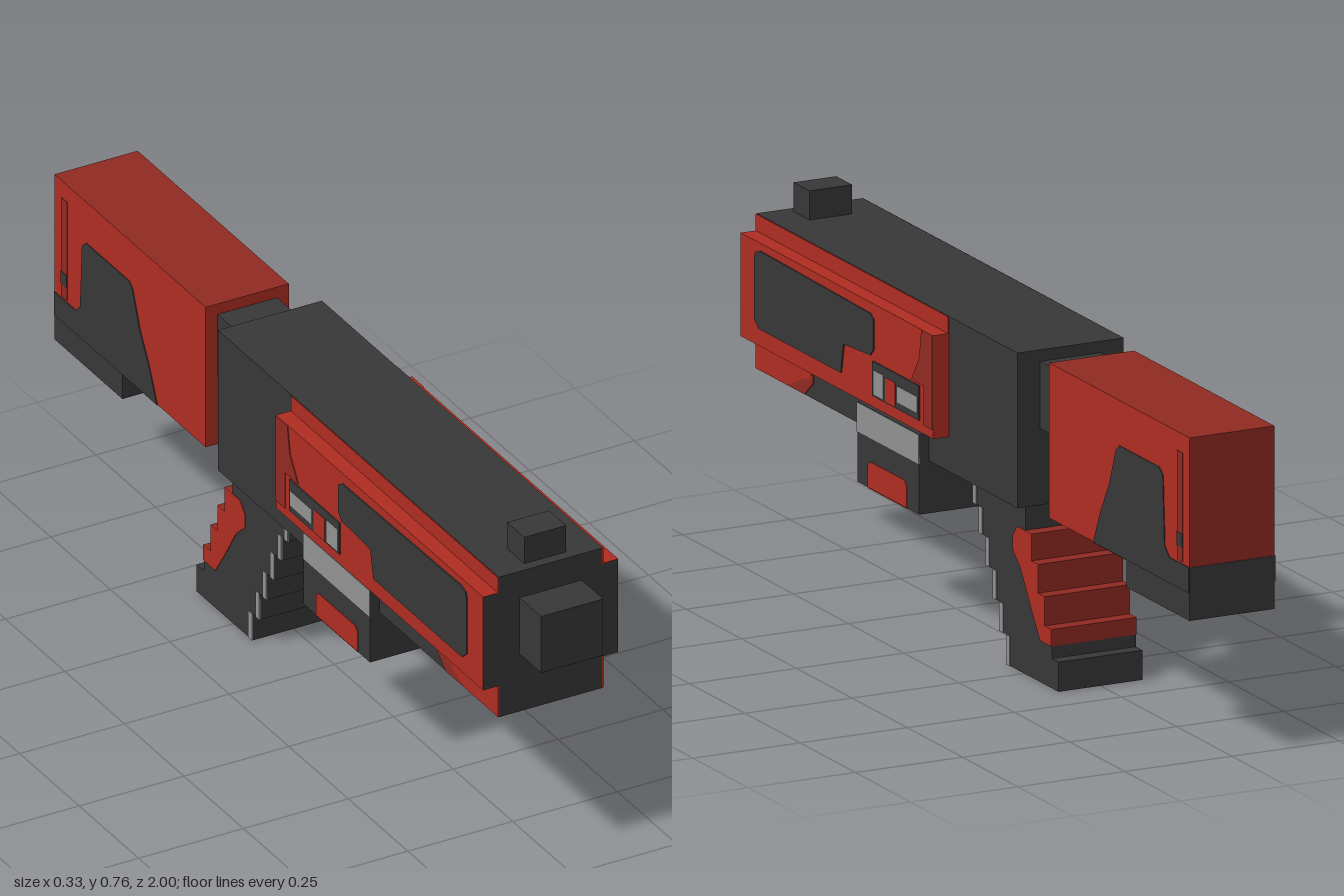
import * as THREE from 'three';

const material = (name, color) => {
  const m = new THREE.MeshStandardMaterial({ color });
  m.name = name;
  return m;
};

export function createModel() {
  const model = new THREE.Group();
  model.name = 'toyBlaster';
  const red = material('red', 0xb02d22);
  const darkRed = material('darkRed', 0x912b22);
  const dark = material('charcoal', 0x383838);
  const grey = material('lightGrey', 0x929292);

  // Box centred on x from half width and y, z ranges; faces ordered +x -x +y -y +z -z
  function box(name, mat, hx, y0, y1, z0, z1, x = 0) {
    const mesh = new THREE.Mesh(new THREE.BoxGeometry(hx * 2, y1 - y0, z1 - z0), mat);
    mesh.position.set(x, (y0 + y1) / 2, (z0 + z1) / 2);
    mesh.name = name;
    model.add(mesh);
  }

  // Thin painted outline of [z, y] points on both sides at distance x
  function panels(name, mat, x, points, depth = 0.006) {
    const shape = new THREE.Shape(points.map(([z, y]) => new THREE.Vector2(-z, y)));
    const geometry = new THREE.ExtrudeGeometry(shape, { depth, bevelEnabled: false });
    geometry.rotateY(Math.PI / 2);
    for (const side of [1, -1]) {
      const mesh = new THREE.Mesh(geometry, mat);
      mesh.position.x = side * x - depth / 2;
      mesh.name = name + (side > 0 ? 'Left' : 'Right');
      model.add(mesh);
    }
  }
  const rect = (z0, z1, y0, y1) => [[z0, y0], [z1, y0], [z1, y1], [z0, y1]];

  // Body, muzzle, sight and stock connector
  box('body', dark, 0.124, 0.365, 0.70, -0.27, 0.91);
  box('muzzle', dark, 0.074, 0.502, 0.637, 0.91, 1.0);
  box('sight', dark, 0.05, 0.70, 0.763, 0.815, 0.887);
  box('connector', dark, 0.071, 0.53, 0.675, -0.365, -0.27);
  panels('bodyUpperStripe', red, 0.124, rect(0.04, 0.91, 0.66, 0.699), 0.004);
  panels('bodyLowerPatch', red, 0.124,
    [[0.91, 0.366], [0.91, 0.44], [0.66, 0.44], [0.66, 0.41], [0.71, 0.392], [0.77, 0.366]], 0.004);
  panels('bodyLowerShade', darkRed, 0.124,
    [[0.77, 0.366], [0.71, 0.392], [0.66, 0.41], [0.65, 0.44], [0.65, 0.40], [0.69, 0.366]], 0.004);

  // Raised side plates with dark front and underside
  for (const s of [1, -1]) {
    box(s > 0 ? 'sidePlateLeft' : 'sidePlateRight', [red, red, red, dark, dark, red],
      0.019, 0.44, 0.663, 0.04, 0.91, s * 0.142);
  }
  panels('platePanel', dark, 0.161, [
    [0.845, 0.625], [0.84, 0.64], [0.82, 0.647], [0.32, 0.64], [0.305, 0.63], [0.305, 0.565],
    [0.32, 0.55], [0.44, 0.543], [0.453, 0.478], [0.825, 0.478], [0.845, 0.495]]);
  panels('plateRearShade', darkRed, 0.161,
    [[0.04, 0.46], [0.04, 0.663], [0.09, 0.663], [0.10, 0.60], [0.135, 0.545], [0.08, 0.545], [0.08, 0.46]], 0.004);
  panels('plateWindow', dark, 0.161, rect(0.10, 0.31, 0.465, 0.54));
  panels('windowRed', red, 0.161, rect(0.205, 0.25, 0.468, 0.52), 0.008);
  panels('windowFrontGrey', grey, 0.161, rect(0.258, 0.302, 0.47, 0.522), 0.008);
  panels('windowRearGrey', grey, 0.161, rect(0.105, 0.195, 0.48, 0.515), 0.008);

  // Magazine
  box('magazine', dark, 0.147, 0.252, 0.425, 0.13, 0.41);
  panels('magazineBand', grey, 0.147, rect(0.13, 0.41, 0.36, 0.424), 0.003);
  panels('magazinePatch', red, 0.147,
    [[0.36, 0.253], [0.36, 0.30], [0.35, 0.31], [0.195, 0.31], [0.185, 0.30], [0.185, 0.253]], 0.003);
  box('magazineBase', red, 0.147, 0.2505, 0.2535, 0.185, 0.36);

  // Stepped grip, listed from the top: [bottom, top, front z, rear z, rear red]
  const steps = [
    [0.31, 0.365, -0.02, -0.255, false], [0.252, 0.31, -0.047, -0.285, true],
    [0.19, 0.252, -0.078, -0.315, true], [0.127, 0.19, -0.11, -0.345, true],
    [0.09, 0.127, -0.14, -0.375, true], [0.064, 0.09, -0.14, -0.375, false],
    [0, 0.064, -0.17, -0.405, false]];
  for (const [y0, y1, front, rear, painted] of steps) {
    const back = painted ? darkRed : dark;
    box('gripStep', [dark, dark, back, dark, dark, back], 0.098, y0, y1, rear, front);
    panels('gripEdge', grey, 0.098, rect(front - 0.016, front, y0, y1), 0.003);
  }
  panels('gripPatch', red, 0.098, [
    [-0.22, 0.31], [-0.285, 0.31], [-0.285, 0.252], [-0.315, 0.252], [-0.315, 0.19], [-0.345, 0.19],
    [-0.345, 0.127], [-0.375, 0.127], [-0.375, 0.09], [-0.325, 0.09], [-0.29, 0.14],
    [-0.235, 0.225], [-0.2, 0.255], [-0.2, 0.285]], 0.003);

  // Stock with dark heel
  box('stock', [red, red, darkRed, red, red, darkRed], 0.099, 0.365, 0.70, -1, -0.365);
  box('stockHeel', dark, 0.099, 0.305, 0.365, -1, -0.715);
  box('stockUnderside', dark, 0.099, 0.363, 0.367, -0.72, -0.567);
  box('stockBackBase', dark, 0.099, 0.365, 0.42, -1.0015, -0.998);
  panels('stockPanel', dark, 0.099, [
    [-0.567, 0.365], [-0.60, 0.44], [-0.64, 0.51], [-0.67, 0.59], [-0.685, 0.603], [-0.865, 0.603],
    [-0.882, 0.59], [-0.89, 0.44], [-0.91, 0.42], [-1, 0.42], [-1, 0.365]], 0.004);
  panels('stockStripe', darkRed, 0.099, rect(-0.97, -0.945, 0.425, 0.66), 0.003);
  panels('stockPin', dark, 0.099, rect(-0.97, -0.945, 0.455, 0.485), 0.005);

  return model;
}
